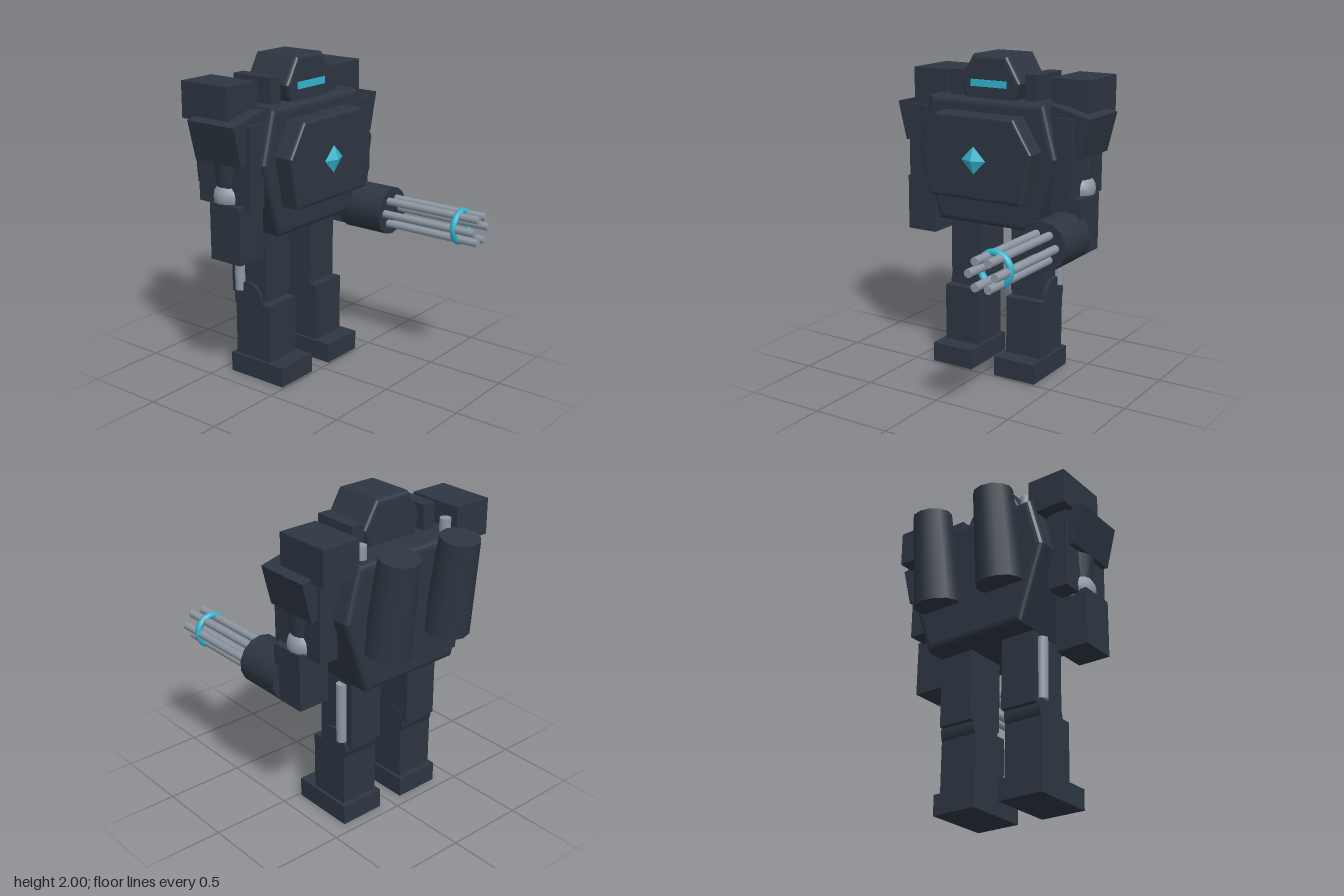
import * as THREE from 'three';

const mat = (name, color) => Object.assign(new THREE.MeshStandardMaterial({ color }), { name });

export function createModel() {
  const armor = mat('dark armor', 0x2d3642);
  const steel = mat('grey steel', 0x8e98a3);
  const glow = mat('cyan glow', 0x33b5d1);
  const root = new THREE.Group();
  root.name = 'armoredWalker';

  const add = (name, geo, material, x = 0, y = 0, z = 0) => {
    const m = new THREE.Mesh(geo, material);
    m.name = name;
    m.position.set(x, y, z);
    root.add(m);
    return m;
  };
  // Box given by its minimum and maximum corners, mirrored when s is -1
  const box = (name, s, [x0, y0, z0], [x1, y1, z1], material = armor) =>
    add(name, new THREE.BoxGeometry(x1 - x0, y1 - y0, z1 - z0), material,
      s * (x0 + x1) / 2, (y0 + y1) / 2, (z0 + z1) / 2);
  // Symmetric bevelled slab from its right-hand outline, top to bottom
  const slab = (name, half, z0, z1, bevel) => {
    const pts = [...half, ...half.map(([x, y]) => [-x, y]).reverse()];
    const shape = new THREE.Shape(pts.map(([x, y]) => new THREE.Vector2(x, y)));
    const geo = new THREE.ExtrudeGeometry(shape, {
      depth: z1 - z0 - 2 * bevel, bevelEnabled: true, bevelSize: bevel,
      bevelThickness: bevel, bevelOffset: -bevel, bevelSegments: 3,
    });
    return add(name, geo, armor, 0, 0, z0 + bevel);
  };

  // Body and head
  slab('torso', [[0.4, 1.74], [0.49, 1.42], [0.34, 0.96]], -0.585, -0.035, 0.035);
  slab('chestPlate', [[0.27, 1.66], [0.395, 1.46], [0.33, 1.145]], -0.06, 0.09, 0.02);
  slab('head', [[0.12, 2], [0.215, 1.84], [0.155, 1.68]], -0.41, -0.085, 0.025);
  box('visor', 1, [-0.125, 1.808, -0.084], [0.125, 1.85, -0.076], glow);
  const gem = add('chestGem', new THREE.OctahedronGeometry(0.09), glow, 0, 1.39, 0.088);
  gem.scale.z = 0.4;

  for (const s of [-1, 1]) {
    // Collar and shoulders
    box('collarBlock', s, [0.225, 1.7, -0.42], [0.31, 1.895, -0.13]);
    add('exhaustPipe', new THREE.CylinderGeometry(0.034, 0.034, 0.2, 10), steel, s * 0.32, 1.72, -0.5);
    box('shoulderBox', s, [0.37, 1.66, -0.545], [0.62, 1.88, -0.185]);
    const pad = add('shoulderPad', new THREE.BoxGeometry(0.26, 0.25, 0.355), armor, s * 0.524, 1.58, -0.268);
    pad.rotation.z = -s * 0.24;

    // Arms
    box('armShield', s, [0.455, 1.17, -0.465], [0.578, 1.665, -0.065]);
    add('upperArm', new THREE.CylinderGeometry(0.11, 0.073, 0.35, 12), armor, s * 0.53, 1.425, -0.265);
    add('elbow', new THREE.SphereGeometry(0.097, 12, 8), steel, s * 0.535, 1.22, -0.265);
    box('forearm', s, [0.42, 0.84, -0.34], [0.625, 1.19, -0.11]);

    // Legs
    box('thigh', s, [0.11, 0.525, -0.445], [0.335, 1, -0.175]);
    add('legPiston', new THREE.CylinderGeometry(0.034, 0.034, 0.38, 10), steel, s * 0.343, 0.745, -0.37);
    const knee = add('knee', new THREE.CylinderGeometry(0.112, 0.112, 0.246, 14), armor, s * 0.23, 0.505, -0.303);
    knee.rotation.z = Math.PI / 2;
    box('shin', s, [0.105, 0.12, -0.4], [0.354, 0.495, -0.13]);
    box('foot', s, [0.085, 0, -0.43], [0.375, 0.125, -0.015]);

    // Tilted tapered tank on the back
    const tank = add('backTank', new THREE.CylinderGeometry(0.118, 0.143, 0.585, 12), armor, s * 0.23, 1.495, -0.664);
    tank.rotation.x = -0.14;
  }

  // Rotary gun on the left forearm
  const gx = 0.522, gy = 0.953;
  const housing = add('gunHousing', new THREE.CylinderGeometry(0.152, 0.152, 0.31, 14), armor, gx, gy, 0.005);
  housing.rotation.x = Math.PI / 2;
  for (let i = 0; i < 6; i++) {
    const a = i * Math.PI / 3;
    const barrel = add('gunBarrel', new THREE.CylinderGeometry(0.025, 0.025, 0.68, 10), steel,
      gx + 0.084 * Math.cos(a), gy + 0.084 * Math.sin(a), 0.48);
    barrel.rotation.x = Math.PI / 2;
  }
  add('barrelRing', new THREE.TorusGeometry(0.096, 0.021, 8, 24), glow, gx, gy, 0.675);

  return root;
}
